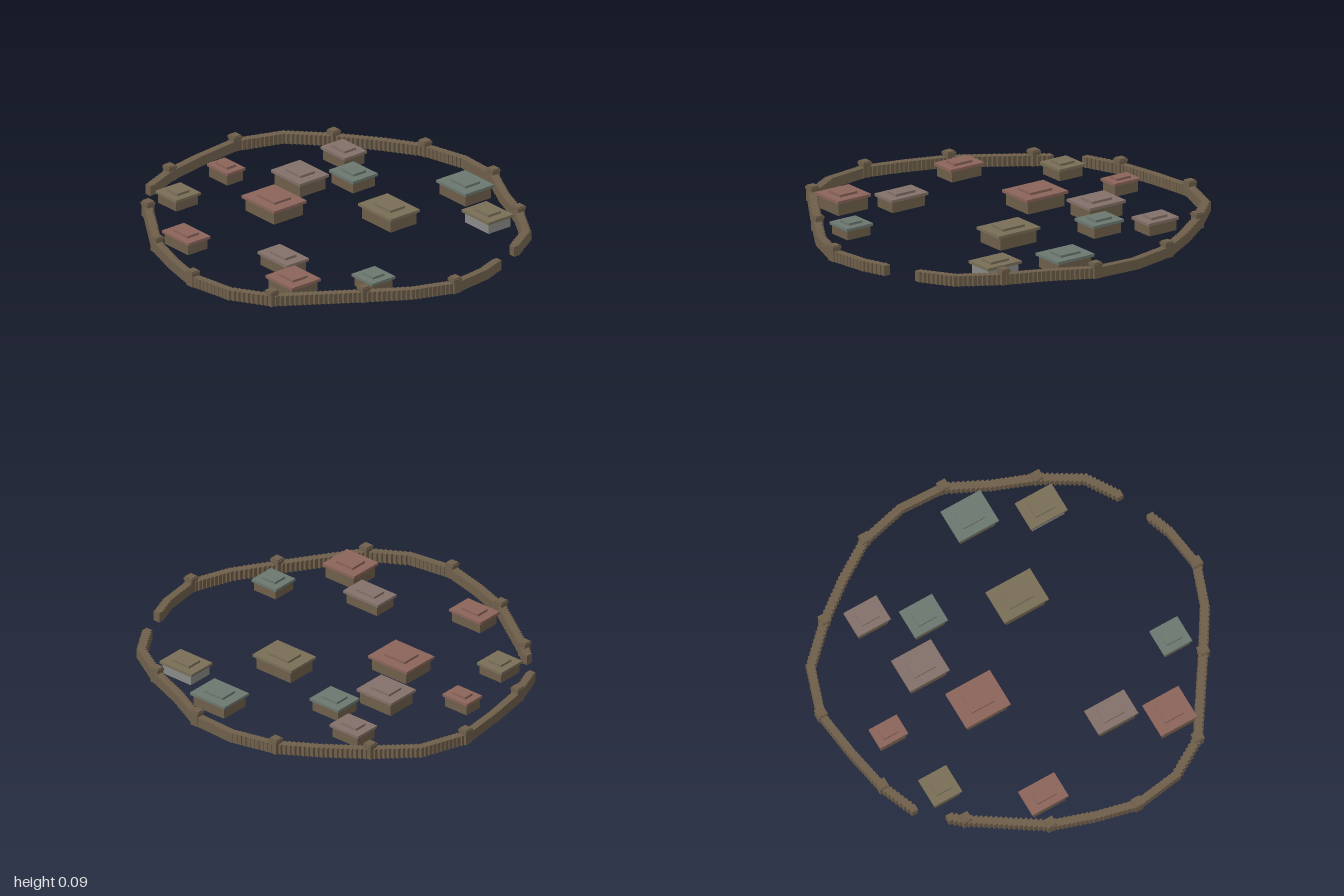
import * as THREE from 'three';

const mat = (color) => new THREE.MeshStandardMaterial({ color, flatShading: true });
const timber = mat(0x6e5f4a);
const stone = mat(0x8a8a88);
const roofs = {
  red: mat(0x8b645b), mauve: mat(0x84716a), olive: mat(0x7a6f58), green: mat(0x6c7870),
};

// Box standing on height y
function box(name, w, h, d, x, y, z, material) {
  const mesh = new THREE.Mesh(new THREE.BoxGeometry(w, h, d), material);
  mesh.name = name;
  mesh.position.set(x, y + h / 2, z);
  return mesh;
}

// Wall paths between the two gates: [x, z, hasTower]
const southWall = [
  [0.905, -0.3], [0.945, -0.19], [0.973, 0.015, 1], [0.9, 0.22], [0.775, 0.42, 1], [0.53, 0.79, 1],
  [0.345, 0.9], [0.11, 0.935, 1], [-0.095, 0.885], [-0.305, 0.815, 1], [-0.645, 0.59, 1], [-0.7, 0.545],
];
const northWall = [
  [-0.835, 0.415], [-0.905, 0.24, 1], [-0.945, 0.025], [-0.975, -0.225, 1], [-0.895, -0.46],
  [-0.72, -0.63, 1], [-0.535, -0.77], [-0.345, -0.89, 1], [-0.115, -0.945], [0.115, -0.935, 1],
  [0.325, -0.83], [0.53, -0.75, 1], [0.73, -0.63], [0.825, -0.48],
];

// Houses: [x, z, width, depth, total height, roof colour]
const houses = [
  [0.147, -0.733, 0.22, 0.18, 0.085, 'green'],
  [0.47, -0.605, 0.203, 0.155, 0.078, 'olive'],
  [-0.535, -0.54, 0.182, 0.14, 0.08, 'mauve'],
  [-0.3, -0.405, 0.182, 0.155, 0.08, 'green'],
  [-0.442, -0.19, 0.22, 0.182, 0.09, 'mauve'],
  [0.139, -0.265, 0.246, 0.182, 0.09, 'olive'],
  [-0.743, 0.022, 0.155, 0.112, 0.08, 'red'],
  [-0.289, 0.098, 0.246, 0.203, 0.09, 'red'],
  [-0.666, 0.385, 0.155, 0.155, 0.075, 'olive'],
  [0.677, 0.278, 0.155, 0.144, 0.073, 'green'],
  [0.233, 0.473, 0.22, 0.139, 0.08, 'mauve'],
  [0.477, 0.613, 0.2, 0.182, 0.09, 'red'],
  [-0.259, 0.671, 0.2, 0.139, 0.08, 'red'],
];

// Row of square posts along a path, with capped towers at marked points
function palisade(name, path) {
  const group = new THREE.Group();
  group.name = name;
  path.forEach(([x, z, tower], i) => {
    if (tower) {
      group.add(box('towerBody', 0.044, 0.064, 0.044, x, 0, z, timber));
      group.add(box('towerCap', 0.05, 0.012, 0.05, x, 0.062, z, timber));
      group.add(box('towerTop', 0.042, 0.007, 0.042, x, 0.073, z, timber));
    }
    const next = path[i + 1];
    const count = next ? Math.ceil(Math.hypot(next[0] - x, next[1] - z) / 0.024) : 1;
    for (let k = 0; k < count; k++) {
      const t = k / count;
      const px = next ? x + (next[0] - x) * t : x;
      const pz = next ? z + (next[1] - z) * t : z;
      group.add(box('wallPost', 0.036, 0.052, 0.036, px, 0, pz, timber));
    }
  });
  return group;
}

// Timber body, overhanging roof slab and smaller raised roof step
function house([x, z, w, d, h, color], i) {
  const group = new THREE.Group();
  group.name = 'house' + (i + 1);
  const eave = h - 0.026;
  group.add(box('houseBody', w * 0.88, eave, d * 0.88, x, 0, z, i === 1 ? stone : timber));
  group.add(box('roofSlab', w, 0.014, d, x, eave, z, roofs[color]));
  group.add(box('roofStep', w * 0.53, 0.012, d * 0.5, x, h - 0.012, z, roofs[color]));
  return group;
}

export function createModel() {
  const model = new THREE.Group();
  model.name = 'walledVillage';
  model.add(palisade('southWall', southWall), palisade('northWall', northWall));
  houses.forEach((h, i) => model.add(house(h, i)));
  return model;
}
